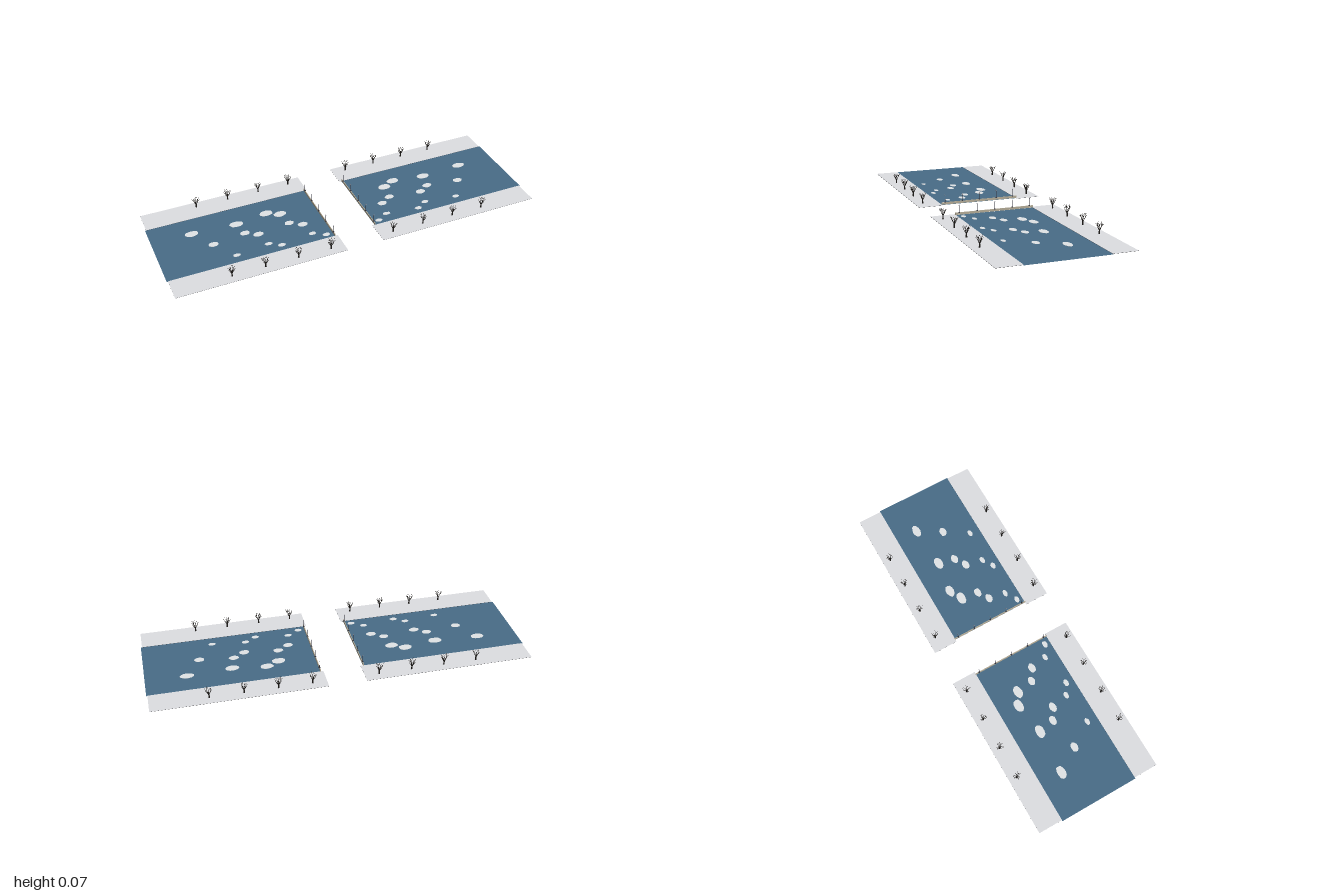
import * as THREE from 'three';

const mat = (name, color, side = THREE.FrontSide) => {
  const m = new THREE.MeshStandardMaterial({ color, side });
  m.name = name;
  return m;
};

export function createModel() {
  const water = mat('water blue', 0x486c87, THREE.DoubleSide);
  const snow = mat('snow', 0xdddee2);
  const ice = mat('ice', 0xe1e4e6);
  const ground = mat('dark ground', 0x48484a);
  const stone = mat('parapet stone', 0xb5ac98);
  const bark = mat('bark', 0x1f1c19);
  const iron = mat('lamp iron', 0x34343f);
  const glass = mat('lamp glass', 0x8a8a92);

  const root = new THREE.Group();
  root.name = 'frozenRiver';

  // Seeded generator for branch and floe irregularity
  let seed = 7;
  const rand = () => {
    seed = (seed * 16807) % 2147483647;
    return seed / 2147483647;
  };

  const add = (parent, name, geometry, material, x = 0, y = 0, z = 0) => {
    const m = new THREE.Mesh(geometry, material);
    m.name = name;
    m.position.set(x, y, z);
    parent.add(m);
    return m;
  };

  // Tapered rod between two points
  const up = new THREE.Vector3(0, 1, 0);
  const rod = (parent, name, a, b, r0, r1, material) => {
    const d = b.clone().sub(a);
    const mid = a.clone().add(b).multiplyScalar(0.5);
    const m = add(parent, name, new THREE.CylinderGeometry(r1, r0, d.length(), 5), material, mid.x, mid.y, mid.z);
    m.quaternion.setFromUnitVectors(up, d.normalize());
  };

  const moundGeo = new THREE.SphereGeometry(0.011, 12, 6);
  moundGeo.scale(1, 0.29, 1);

  // Bare winter tree with a snow mound at its foot
  const makeTree = (parent, x, z) => {
    const tree = new THREE.Group();
    tree.name = 'tree';
    tree.position.set(x, 0, z);
    parent.add(tree);
    add(tree, 'snowMound', moundGeo, snow, 0, 0.0032, 0);
    add(tree, 'trunk', new THREE.CylinderGeometry(0.003, 0.0042, 0.024, 7), bark, 0, 0.016, 0);
    const turn = rand() * 6.28;
    for (let i = 0; i < 7; i++) {
      const a = turn + (i / 7) * Math.PI * 2 + (rand() - 0.5) * 0.4;
      const out = i % 2 ? 0.008 : 0.013;
      const dir = (r, ang, y) => new THREE.Vector3(Math.cos(ang) * r, y, Math.sin(ang) * r);
      const start = dir(0.001, a, 0.024);
      const fork = dir(out, a, 0.043 + rand() * 0.004);
      rod(tree, 'branch', start, fork, 0.0017, 0.001, bark);
      for (const s of [-1, 1]) {
        const tip = dir(out + 0.005 + rand() * 0.004, a + s * 0.42, 0.057 + rand() * 0.009);
        rod(tree, 'twig', fork, tip, 0.001, 0.0004, bark);
      }
    }
  };

  // Irregular flat ice floe
  const makeFloe = (parent, x, z, rx, rz) => {
    const shape = new THREE.Shape();
    for (let i = 0; i < 11; i++) {
      const a = (i / 11) * Math.PI * 2;
      const k = 0.88 + rand() * 0.16;
      shape[i ? 'lineTo' : 'moveTo'](Math.cos(a) * rx * k, Math.sin(a) * rz * k);
    }
    shape.closePath();
    const geo = new THREE.ExtrudeGeometry(shape, { depth: 0.002, bevelEnabled: false });
    geo.rotateX(-Math.PI / 2);
    add(parent, 'iceFloe', geo, ice, x, 0.002, z);
  };

  // Lamp standing on the parapet
  const makeLamp = (parent, x, z) => {
    const lamp = new THREE.Group();
    lamp.name = 'lamp';
    lamp.position.set(x, 0, z);
    parent.add(lamp);
    add(lamp, 'lampBase', new THREE.CylinderGeometry(0.003, 0.005, 0.004, 8), iron, 0, 0.0175, 0);
    add(lamp, 'lampPole', new THREE.CylinderGeometry(0.0011, 0.0015, 0.036, 6), iron, 0, 0.036, 0);
    add(lamp, 'lampGlobe', new THREE.SphereGeometry(0.0027, 10, 8), glass, 0, 0.0555, 0);
  };

  // Floe centres and radii: x, z, rx, rz
  const floes = [
    [0.786, -0.094, 0.038, 0.023], [0.55, -0.08, 0.038, 0.024],
    [0.374, -0.106, 0.037, 0.024], [0.307, -0.072, 0.037, 0.024],
    [0.708, 0.032, 0.028, 0.019], [0.531, 0.008, 0.028, 0.019],
    [0.47, 0.045, 0.028, 0.019], [0.291, 0.021, 0.027, 0.019],
    [0.231, 0.058, 0.028, 0.019], [0.626, 0.16, 0.021, 0.013],
    [0.449, 0.139, 0.021, 0.013], [0.39, 0.174, 0.021, 0.014],
    [0.213, 0.15, 0.021, 0.013], [0.15, 0.187, 0.021, 0.013],
  ];

  // Two stretches of river, mirrored across the central gap
  for (const s of [-1, 1]) {
    const half = new THREE.Group();
    half.name = s > 0 ? 'leftStretch' : 'rightStretch';
    root.add(half);

    const waterGeo = new THREE.PlaneGeometry(0.888, 0.434);
    waterGeo.rotateX(-Math.PI / 2);
    add(half, 'water', waterGeo, water, s * 0.556, 0.003, 0);
    floes.forEach(([x, z, rx, rz]) => makeFloe(half, s * x, z, rx, rz));

    // Snowy embankments with dark ground beneath, and their trees
    for (const t of [-1, 1]) {
      add(half, 'bankGround', new THREE.BoxGeometry(0.895, 0.001, 0.131), ground, s * 0.5465, 0.0037, t * 0.2815);
      add(half, 'bankSnow', new THREE.BoxGeometry(0.895, 0.0007, 0.131), snow, s * 0.5465, 0.00455, t * 0.2815);
      for (let i = 0; i < 4; i++) makeTree(half, s * (0.174 + i * 0.1745), t * 0.305);
    }

    // Parapet along the gap
    add(half, 'parapet', new THREE.BoxGeometry(0.004, 0.012, 0.436), stone, s * 0.114, 0.0105, 0);
    for (let i = -2; i <= 2; i++) makeLamp(half, s * 0.115, i * 0.0985);
  }
  return root;
}
